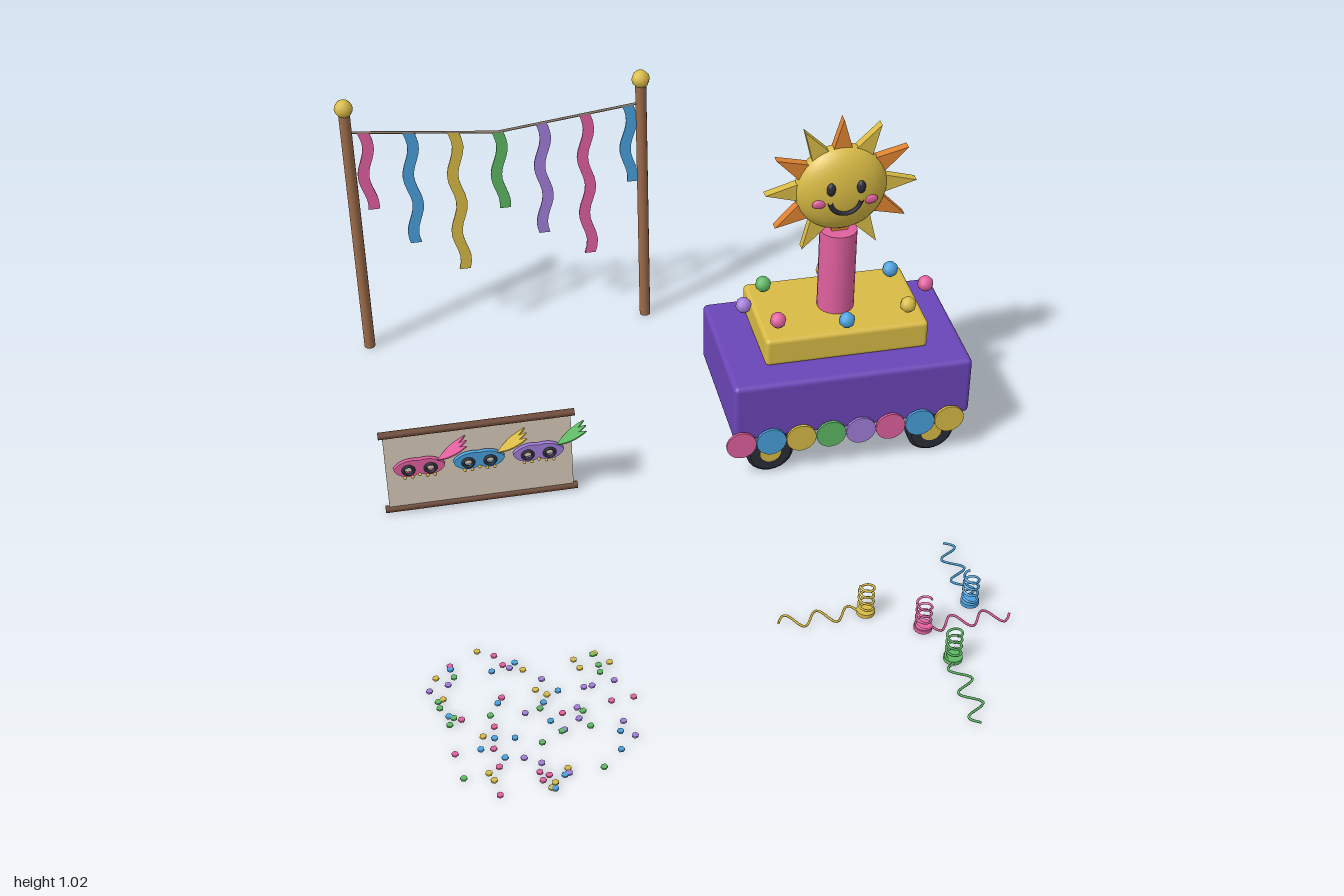
import * as THREE from 'three';
import { RoundedBoxGeometry } from 'three/addons/geometries/RoundedBoxGeometry.js';

const C = {
  pink: 0xe0609f, blue: 0x4aa0dd, yellow: 0xd9bb45, green: 0x5fb865, purple: 0xa27edb,
  orange: 0xe08333, body: 0x6b46b8, wood: 0x9c6b4a, rod: 0x6b4632, cloth: 0xd9ccbb,
  dark: 0x2b2d38, rope: 0x8b7b6a,
};
const PARTY = [C.pink, C.blue, C.yellow, C.green, C.purple];

function add(parent, name, geo, color, x = 0, y = 0, z = 0) {
  const mat = new THREE.MeshStandardMaterial({ color, side: THREE.DoubleSide });
  const mesh = new THREE.Mesh(geo, mat);
  mesh.name = name;
  mesh.position.set(x, y, z);
  parent.add(mesh);
  return mesh;
}

function group(parent, name, x = 0, y = 0, z = 0) {
  const g = new THREE.Group();
  g.name = name;
  g.position.set(x, y, z);
  parent.add(g);
  return g;
}

const V = (x, y, z) => new THREE.Vector3(x, y, z);
const tube = (pts, r, seg) => new THREE.TubeGeometry(new THREE.CatmullRomCurve3(pts), seg, r, 5);
const slab = (shape, depth) => new THREE.ExtrudeGeometry(shape, { depth, bevelEnabled: false, curveSegments: 16 })
  .translate(0, 0, -depth / 2);
const ball = (r) => new THREE.SphereGeometry(r, 8, 6);

// Hanging ribbon with a gentle sideways wave
function ribbon(length, width) {
  const left = [], right = [], n = 20;
  for (let i = 0; i <= n; i++) {
    const d = (length * i) / n;
    const x = 0.011 * Math.sin((d / 0.2) * Math.PI * 2);
    left.push(new THREE.Vector2(x - width / 2, -d));
    right.unshift(new THREE.Vector2(x + width / 2, -d));
  }
  return slab(new THREE.Shape([...left, ...right]), 0.006);
}

function buildStreamerLine(root) {
  const g = group(root, 'streamerLine', 0, 0, -0.975);
  const ends = [-0.863, 0.018], mid = -0.42;
  for (const x of ends) {
    add(g, 'pole', new THREE.CylinderGeometry(0.017, 0.017, 0.835, 12), C.wood, x, 0.4175, 0);
    add(g, 'poleKnob', ball(0.028), C.yellow, x, 0.85, 0);
    const line = new THREE.LineCurve3(V(x, 0.77, 0), V(mid, 0.72, 0));
    add(g, 'rope', new THREE.TubeGeometry(line, 1, 0.004, 6), C.rope);
  }
  const bottoms = [0.5, 0.365, 0.25, 0.455, 0.35, 0.257, 0.5];
  bottoms.forEach((bottom, i) => {
    const x = -0.815 + i * 0.132;
    const top = 0.72 + 0.05 * Math.abs(x - mid) / 0.44;
    add(g, 'ribbon', ribbon(top - bottom, 0.034), PARTY[i % 5], x, top, 0);
  });
}

function buildBanner(root) {
  const g = group(root, 'maskBanner', -0.61, 0, -0.148);
  add(g, 'cloth', new THREE.BoxGeometry(0.527, 0.26, 0.008), C.cloth, 0, 0.145, 0);
  for (const y of [0.013, 0.276]) {
    add(g, 'rod', new THREE.CylinderGeometry(0.011, 0.011, 0.55, 10), C.rod, 0, y, 0).rotation.z = Math.PI / 2;
  }

  // Mask outline with two eye holes
  const mask = new THREE.Shape();
  mask.moveTo(-0.072, 0.006);
  mask.bezierCurveTo(-0.055, 0.032, -0.02, 0.036, 0, 0.03);
  mask.bezierCurveTo(0.02, 0.036, 0.055, 0.032, 0.072, 0.006);
  mask.bezierCurveTo(0.068, -0.022, 0.02, -0.035, 0, -0.013);
  mask.bezierCurveTo(-0.02, -0.035, -0.068, -0.022, -0.072, 0.006);
  for (const s of [-1, 1]) mask.holes.push(new THREE.Path().absellipse(s * 0.031, -0.001, 0.014, 0.014, 0, Math.PI * 2));

  const leaf = new THREE.Shape();
  leaf.moveTo(0, 0);
  leaf.quadraticCurveTo(0.055, 0.024, 0.102, 0);
  leaf.quadraticCurveTo(0.055, -0.024, 0, 0);

  const colors = [C.pink, C.blue, C.purple], plumes = [C.pink, C.yellow, C.green];
  colors.forEach((color, i) => {
    const m = group(g, 'mask', -0.17 + i * 0.168, 0.163, 0.018);
    add(m, 'maskFace', slab(mask, 0.012), color);
    for (const s of [-1, 1]) {
      add(m, 'eyeRing', new THREE.TorusGeometry(0.0145, 0.005, 6, 16), C.dark, s * 0.031, -0.001, 0.006);
    }
    for (let k = -2; k <= 2; k++) {
      add(m, 'bead', ball(0.005), C.yellow, k * 0.021, -0.026 + (k === 0 ? 0.006 : 0), 0.006);
    }
    // Three blades fanned across the depth
    const plume = group(m, 'plume', 0.052, 0.027, 0.012);
    plume.rotation.z = 0.59;
    for (const k of [-1, 0, 1]) {
      const blade = add(plume, 'feather', slab(leaf, 0.004).rotateX(-Math.PI / 2), plumes[i]);
      blade.rotation.y = k * 0.25;
    }
  });
}

function buildSun(parent) {
  const g = group(parent, 'sun', 0.466, 0.803, -0.337);
  add(g, 'sunDisc', new THREE.SphereGeometry(0.133, 32, 20).scale(1, 1, 0.49), C.yellow);
  const ray = new THREE.Shape([new THREE.Vector2(-0.031, 0.112), new THREE.Vector2(0.031, 0.112), new THREE.Vector2(0, 0.218)]);
  for (let i = 0; i < 12; i++) {
    add(g, 'ray', slab(ray, 0.026), i % 2 ? C.yellow : C.orange).rotation.z = (i * Math.PI) / 6;
  }
  // Face
  for (const s of [-1, 1]) {
    add(g, 'eye', new THREE.SphereGeometry(1, 12, 8).scale(0.013, 0.02, 0.01), C.dark, s * 0.043, 0.028, 0.061);
    add(g, 'cheek', new THREE.SphereGeometry(1, 12, 8).scale(0.021, 0.014, 0.008), C.pink, s * 0.074, -0.02, 0.053);
  }
  const smile = new THREE.TorusGeometry(0.045, 0.007, 6, 20, Math.PI * 0.9).rotateZ(Math.PI * 1.05);
  add(g, 'smile', smile, C.dark, 0, -0.008, 0.062);
}

function buildFloat(root) {
  const g = group(root, 'paradeFloat');
  const cx = 0.466;
  add(g, 'body', new RoundedBoxGeometry(0.702, 0.188, 0.441, 2, 0.015), C.body, cx, 0.222, -0.32);
  add(g, 'platform', new RoundedBoxGeometry(0.48, 0.088, 0.304, 2, 0.013), C.yellow, cx, 0.36, -0.341);
  add(g, 'column', new THREE.CylinderGeometry(0.054, 0.054, 0.262, 20), C.pink, cx, 0.533, -0.337);
  buildSun(g);

  // Wheels
  const profile = [[0, -0.024], [0.06, -0.024], [0.07, -0.015], [0.07, 0.015], [0.06, 0.024], [0, 0.024]]
    .map(([r, y]) => new THREE.Vector2(r, y));
  for (const x of [0.225, 0.708]) for (const z of [-0.131, -0.506]) {
    const w = group(g, 'wheel', x, 0.07, z);
    w.rotation.x = Math.PI / 2;
    const tyre = add(w, 'tyre', new THREE.LatheGeometry(profile, 24), C.dark);
    tyre.material.flatShading = true;
    add(w, 'hub', new THREE.CylinderGeometry(0.031, 0.031, 0.054, 16), C.yellow);
  }

  // Garland discs, front and back
  const disc = new THREE.CylinderGeometry(0.044, 0.044, 0.008, 20).rotateX(Math.PI / 2);
  for (let i = 0; i < 8; i++) {
    add(g, 'frontGarlandDisc', disc, PARTY[i % 5], 0.135 + i * 0.0885, 0.123, -0.091);
    add(g, 'backGarlandDisc', disc, PARTY[(8 - i) % 5], 0.843 - i * 0.0885, 0.123, -0.547);
  }
  // Patch the back garland sequence so it runs green, purple, pink, blue, yellow
  const back = g.children.filter((m) => m.name === 'backGarlandDisc');
  back.forEach((m, i) => m.material.color.set(PARTY[(i + 3) % 5]));

  // Ring of balls around the platform, starting at the right and running to the front
  const ring = [C.pink, C.yellow, C.blue, C.pink, C.purple, C.green, C.yellow, C.blue];
  ring.forEach((color, i) => {
    const a = (i * Math.PI) / 4;
    add(g, 'trimBall', ball(0.024), color, cx + 0.272 * Math.cos(a), 0.434, -0.341 + 0.133 * Math.sin(a));
  });
}

// Springy party streamers with a wavy tail on the ground
function buildCoils(root) {
  const coils = [
    [C.pink, 0.47, 0.62, 0], [C.blue, 0.622, 0.55, Math.PI / 2],
    [C.yellow, 0.337, 0.53, Math.PI], [C.green, 0.513, 0.748, -Math.PI / 2],
  ];
  for (const [color, x, z, turn] of coils) {
    const g = group(root, 'coilStreamer', x, 0, z);
    g.rotation.y = turn;
    add(g, 'coilBase', new THREE.CylinderGeometry(0.025, 0.025, 0.012, 16), color, 0, 0.007, 0);
    const spring = [], tail = [];
    for (let i = 0; i <= 48; i++) {
      const a = (i / 12) * Math.PI * 2;
      spring.push(V(0.02 * Math.cos(a), 0.008 + (0.092 * i) / 48, 0.02 * Math.sin(a)));
    }
    for (let i = 0; i <= 30; i++) {
      const t = i / 30;
      tail.push(V(0.02 + 0.22 * t, 0.008, 0.026 * Math.sin(t * Math.PI * 5)));
    }
    add(g, 'spring', tube(spring, 0.0035, 96), color);
    add(g, 'tail', tube(tail, 0.0035, 60), color);
  }
}

// Scattered confetti
function buildConfetti(root) {
  let seed = 7;
  const rnd = () => (seed = (seed * 16807) % 2147483647) / 2147483647;
  const g = group(root, 'confetti', -0.6, 0.004, 0.715);
  const chip = new THREE.CylinderGeometry(0.009, 0.009, 0.005, 6);
  for (let i = 0; i < 80; i++) {
    const a = rnd() * Math.PI * 2, r = 0.285 * Math.pow(rnd(), 0.6);
    add(g, 'confettiChip', chip, PARTY[i % 5], r * Math.cos(a), 0, r * Math.sin(a)).rotation.y = rnd() * 3;
  }
}

export function createModel() {
  const root = new THREE.Group();
  root.name = 'carnivalScene';
  buildStreamerLine(root);
  buildBanner(root);
  buildFloat(root);
  buildCoils(root);
  buildConfetti(root);
  return root;
}
